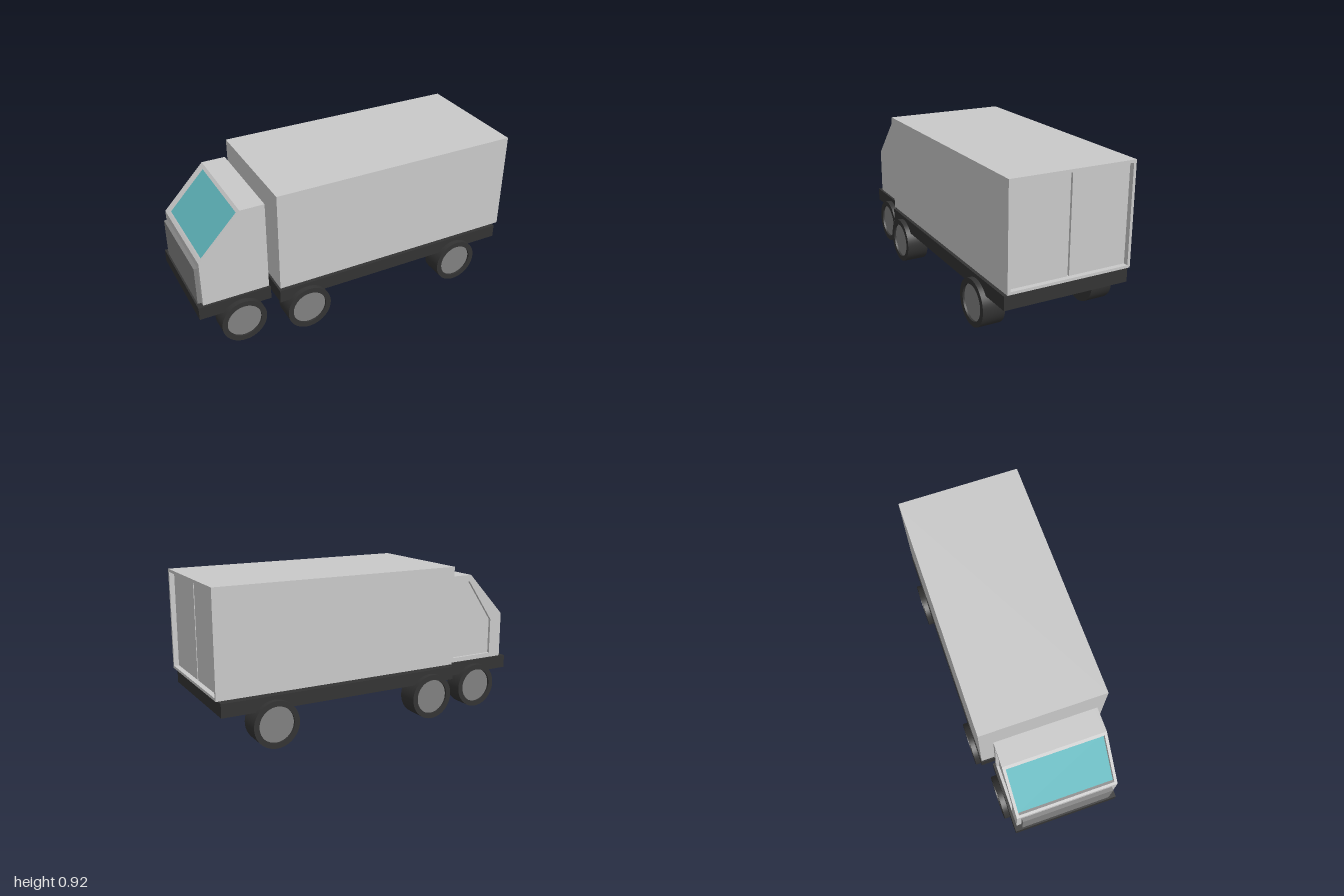
import * as THREE from 'three';
import { toCreasedNormals } from 'three/addons/utils/BufferGeometryUtils.js';

export function createModel() {
  const truck = new THREE.Group();
  truck.name = 'truck';

  const material = (name, color) => {
    const m = new THREE.MeshStandardMaterial({ color });
    m.name = name;
    return m;
  };
  const body = material('bodyGrey', 0xc9c9c9);
  const metal = material('metalGrey', 0x808080);
  const dark = material('darkRubber', 0x333333);
  const glass = material('tealGlass', 0x5fb4ba);

  const add = (name, geometry, mat, parent = truck) => {
    const mesh = new THREE.Mesh(geometry, mat);
    mesh.name = name;
    parent.add(mesh);
    return mesh;
  };
  // Box given by its minimum and maximum on each axis
  const box = (name, mat, [x0, x1], [y0, y1], [z0, z1]) =>
    add(name, new THREE.BoxGeometry(x1 - x0, y1 - y0, z1 - z0)
      .translate((x0 + x1) / 2, (y0 + y1) / 2, (z0 + z1) / 2), mat);
  const outline = (points) => new THREE.Shape(points.map(([x, y]) => new THREE.Vector2(x, y)));
  const slab = (shape, z0, z1) =>
    new THREE.ExtrudeGeometry(shape, { depth: z1 - z0, bevelEnabled: false }).translate(0, 0, z0);

  // Chassis
  box('cabChassis', dark, [-1, -0.565], [0.22, 0.3], [-0.321, 0.321]);
  box('cargoChassis', dark, [-0.535, 0.975], [0.22, 0.3], [-0.385, 0.385]);

  // Cab: a notched core that holds the windscreen, between two side panels
  const cabProfile = [[-0.57, 0.3], [-0.57, 0.85], [-0.715, 0.85], [-0.968, 0.582], [-0.968, 0.3]];
  const coreProfile = [[-0.57, 0.3], [-0.57, 0.85], [-0.715, 0.85], [-0.73, 0.834], [-0.71, 0.815],
    [-0.935, 0.577], [-0.955, 0.596], [-0.968, 0.582], [-0.968, 0.3]];
  add('cabCore', slab(outline(coreProfile), -0.289, 0.289), body);
  add('cabPlainSide', slab(outline(cabProfile), 0.289, 0.306), body);

  // Door side: the door is a recess cut through the side panel
  const doorSide = outline(cabProfile);
  doorSide.holes.push(outline([[-0.595, 0.328], [-0.595, 0.81], [-0.705, 0.81], [-0.884, 0.55], [-0.884, 0.328]]));
  add('cabDoorSide', slab(doorSide, -0.306, -0.289), body);

  // Windscreen plate lying on the sloping floor of the notch
  add('windscreen', slab(outline([[-0.71, 0.815], [-0.713, 0.818], [-0.938, 0.58], [-0.935, 0.577]]),
    -0.288, 0.288), glass);

  box('grille', metal, [-0.99, -0.968], [0.3, 0.537], [-0.277, 0.277]);

  // Cargo box with a rear frame and two recessed doors
  box('cargoBox', body, [-0.53, 0.955], [0.315, 0.923], [-0.38, 0.38]);
  const rim = outline([[-0.38, 0.315], [0.38, 0.315], [0.38, 0.923], [-0.38, 0.923]]);
  rim.holes.push(outline([[-0.363, 0.331], [-0.363, 0.906], [0.363, 0.906], [0.363, 0.331]]));
  add('rearFrame', slab(rim, 0.955, 1).rotateY(Math.PI / 2), body);
  for (const side of [-1, 1]) {
    box(side > 0 ? 'leftRearDoor' : 'rightRearDoor', body, [0.955, 0.97], [0.331, 0.906],
      side > 0 ? [0.006, 0.363] : [-0.363, -0.006]);
  }

  // Wheels: tyre with a shallow dish on the outer face, holding the hub disc
  const radius = 0.137, hubRadius = 0.105, dish = 0.012;
  const addWheel = (name, x, inner, outer, side) => {
    const width = outer - inner;
    const wheel = new THREE.Group();
    wheel.name = name;
    const profile = [[0, 0], [radius, 0], [radius, width], [hubRadius, width], [hubRadius, width - dish]]
      .map(([r, h]) => new THREE.Vector2(r, h));
    add('tyre', toCreasedNormals(new THREE.LatheGeometry(profile, 48), 0.6), dark, wheel);
    add('hub', new THREE.CylinderGeometry(hubRadius, hubRadius, 0.008, 48)
      .translate(0, width - dish - 0.004, 0), metal, wheel);
    wheel.rotation.x = side * Math.PI / 2;
    wheel.position.set(x, 0.14, side * inner);
    truck.add(wheel);
  };
  for (const side of [-1, 1]) {
    addWheel('cabWheel', -0.747, 0.237, 0.353, side);
    addWheel('cargoFrontWheel', -0.363, 0.28, 0.415, side);
    addWheel('cargoRearWheel', 0.667, 0.28, 0.415, side);
  }

  return truck;
}
